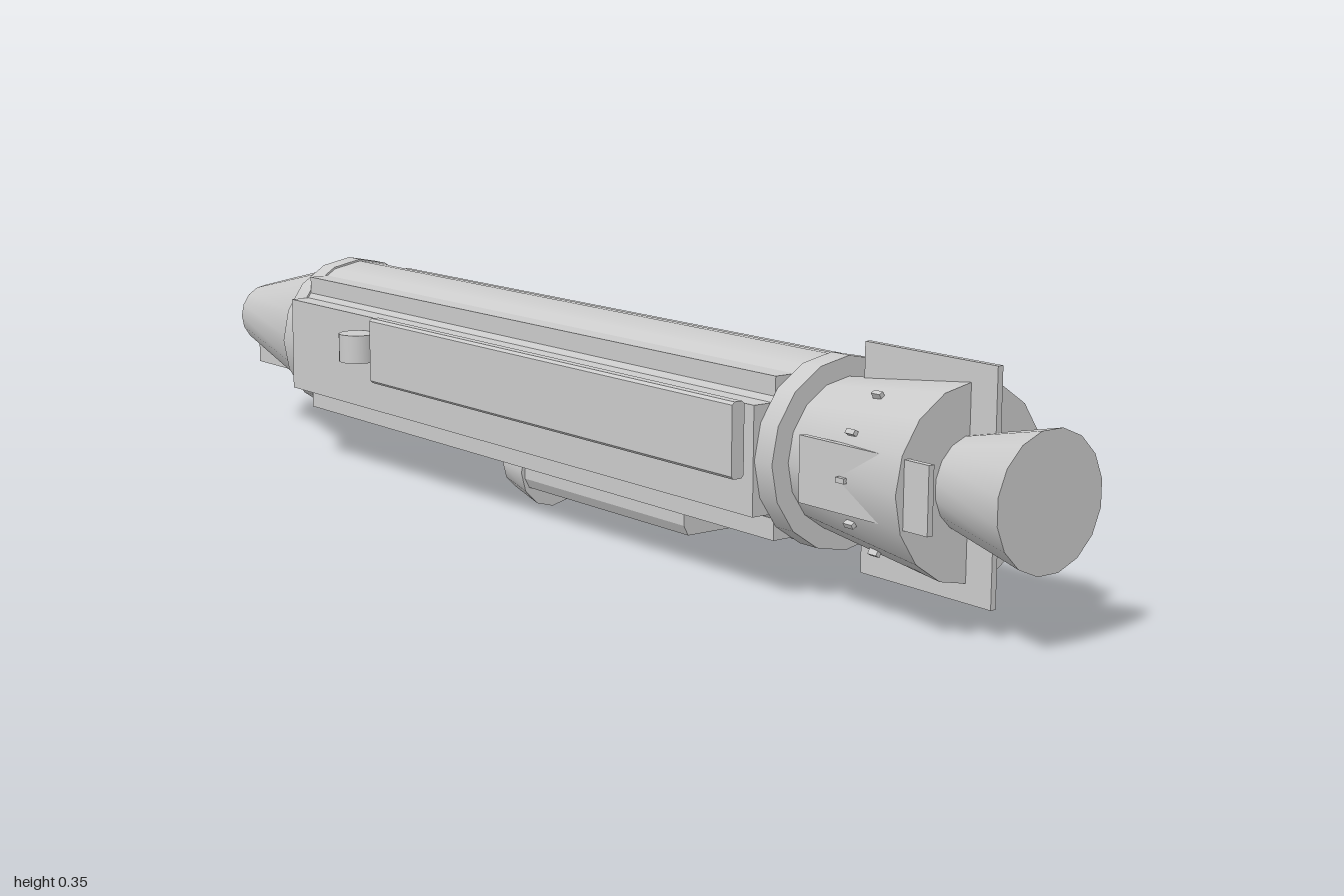
import * as THREE from 'three';

const AXIS = 0.196; // height of the long axis

export function createModel() {
  const model = new THREE.Group();
  const mat = new THREE.MeshStandardMaterial({ color: 0xcccccc });

  const add = (name, geo, x = 0, y = 0, z = 0) => {
    const mesh = new THREE.Mesh(geo, mat);
    mesh.name = name;
    mesh.position.set(x, y, z);
    model.add(mesh);
    return mesh;
  };
  // Box given by its limits on each axis
  const box = (name, x0, x1, y0, y1, z0, z1) =>
    add(name, new THREE.BoxGeometry(x1 - x0, y1 - y0, z1 - z0),
      (x0 + x1) / 2, (y0 + y1) / 2, (z0 + z1) / 2);
  // Round section along z, from z0 (radius r0) to z1 (radius r1)
  const round = (name, r0, r1, z0, z1, sides = 16, turn = 0, y = AXIS) => {
    const geo = new THREE.CylinderGeometry(r1, r0, z1 - z0, sides);
    geo.rotateX(Math.PI / 2).rotateZ(turn);
    return add(name, geo, 0, y, (z0 + z1) / 2);
  };
  // Cross-section extruded along z
  const prism = (name, points, z0, z1) => {
    const shape = new THREE.Shape(points.map(p => new THREE.Vector2(...p)));
    return add(name, new THREE.ExtrudeGeometry(shape, { depth: z1 - z0, bevelEnabled: false }), 0, 0, z0);
  };

  // Hull with collars, nose and tail
  round('hull', 0.13, 0.13, -0.61, 0.61);
  round('noseCollar', 0.133, 0.133, -0.635, -0.6);
  round('tailCollar', 0.133, 0.133, 0.6, 0.635);
  round('noseCone', 0.053, 0.122, -0.925, -0.63);
  round('noseTip', 0, 0.046, -1, -0.922);
  round('tailFlare', 0.103, 0.131, 0.62, 0.865);
  round('nozzle', 0.06, 0.093, 0.85, 1, 16, Math.PI / 16);

  // Cores whose corners break through the hull as long rails
  box('cornerRails', -0.098, 0.098, 0.083, 0.306, -0.6, 0.6);
  box('sidePlates', -0.135, 0.135, 0.12, 0.271, -0.6, 0.6);

  for (const s of [-1, 1]) {
    // Long side panel with chamfered edges
    const c = 0.004, x0 = 0.147, x1 = 0.168, y0 = 0.174, y1 = 0.278;
    const outline = [[x0 + c, y0], [x1 - c, y0], [x1, y0 + c], [x1, y1 - c],
      [x1 - c, y1], [x0 + c, y1], [x0, y1 - c], [x0, y0 + c]];
    prism('sidePanel', outline.map(([x, y]) => [s * x, y]), -0.3, 0.595);
    // Short upright drum ahead of the panel
    add('sideDrum', new THREE.CylinderGeometry(0.03, 0.03, 0.045, 20), s * 0.16, 0.225, -0.35);
    // Side fin on the flare
    box('sideFin', s * 0.1125 - 0.0045, s * 0.1125 + 0.0045, 0.151, 0.241, 0.67, 0.908);
  }

  // Upright fin through the tail
  box('uprightFin', -0.0045, 0.0045, 0.04, 0.353, 0.67, 0.91);

  // Ring of small studs around the flare
  for (let i = 0; i < 12; i++) {
    const a = i * Math.PI / 6;
    const stud = add('flareStud', new THREE.BoxGeometry(0.012, 0.007, 0.016),
      Math.cos(a) * 0.118, AXIS + Math.sin(a) * 0.118, 0.755);
    stud.rotation.z = a;
  }

  // Belly duct and its scoop
  prism('bellyDuct', [[-0.045, 0.035], [0.045, 0.035], [0.053, 0.05], [0.053, 0.09],
    [-0.053, 0.09], [-0.053, 0.05]], -0.05, 0.355);
  round('bellyScoop', 0.044, 0.06, -0.108, -0.036, 12, 0, 0.06);

  // Chin block below the nose
  box('chinBlock', -0.026, 0.026, 0.112, 0.17, -0.91, -0.8);

  return model;
}
